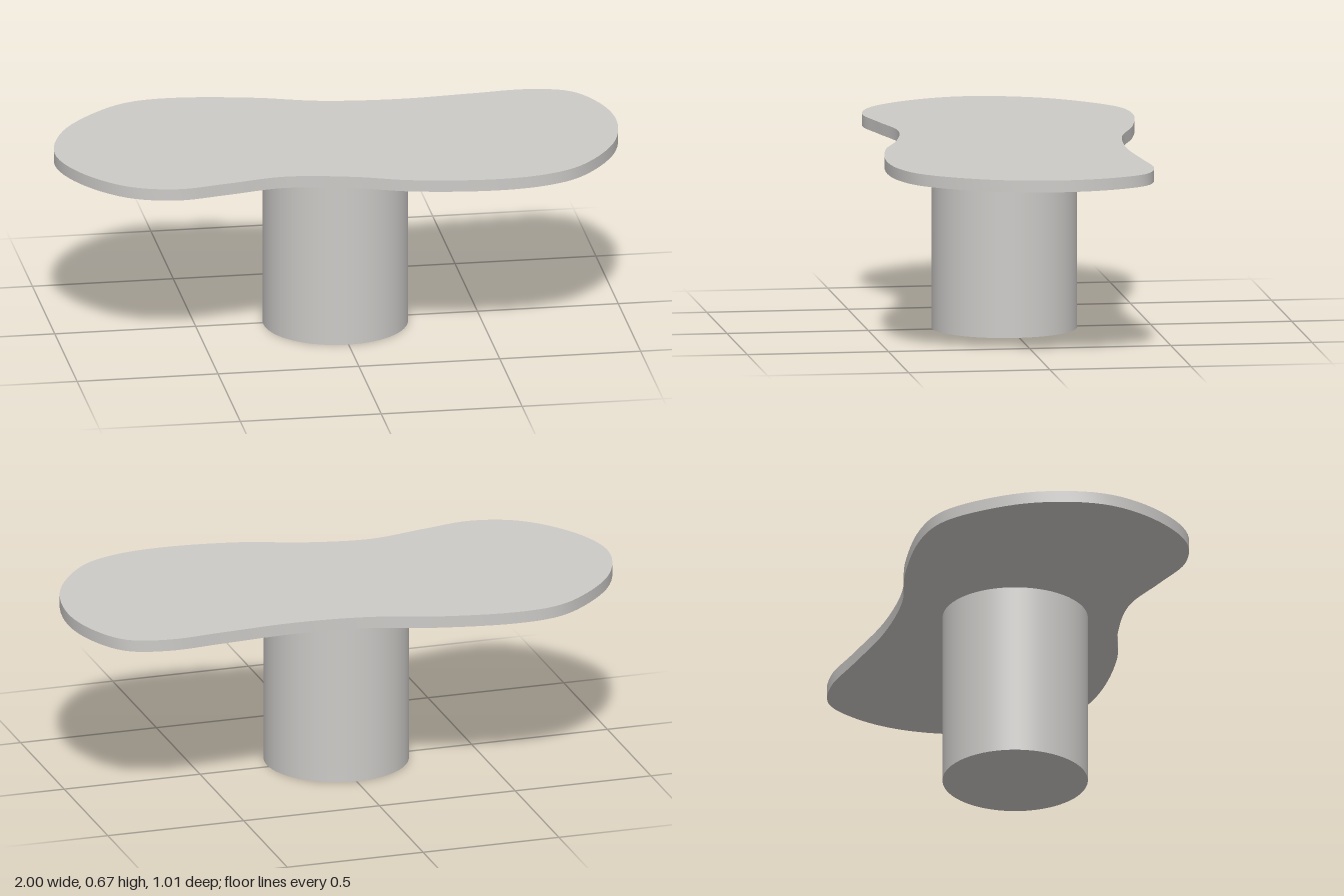
import * as THREE from 'three';
import { toCreasedNormals } from 'three/addons/utils/BufferGeometryUtils.js';

const TOP_Y = 0.67;
const THICKNESS = 0.042;

// Outline of the table top as [x, z]
const OUTLINE = [
  [-1, 0], [-0.935, -0.23], [-0.79, -0.405], [-0.66, -0.49], [-0.5, -0.51],
  [-0.22, -0.467], [0, -0.4], [0.27, -0.375], [0.54, -0.392], [0.745, -0.405],
  [0.885, -0.362], [0.967, -0.23], [1, -0.04], [0.95, 0.2], [0.8, 0.41],
  [0.67, 0.478], [0.485, 0.502], [0.19, 0.465], [0, 0.4], [-0.24, 0.36],
  [-0.45, 0.4], [-0.635, 0.43], [-0.8, 0.375], [-0.945, 0.2],
];

export function createModel() {
  const group = new THREE.Group();
  group.name = 'table';
  const stone = new THREE.MeshStandardMaterial({ color: 0xcccac7 });
  stone.name = 'warm grey';

  // Freeform table top: closed smooth outline, extruded downwards
  const curve = new THREE.CatmullRomCurve3(
    OUTLINE.map(([x, z]) => new THREE.Vector3(x, z, 0)), true, 'centripetal');
  const points = curve.getPoints(144).slice(0, -1);
  const shape = new THREE.Shape(points.map((p) => new THREE.Vector2(p.x, p.y)));
  const slab = new THREE.ExtrudeGeometry(shape, { depth: THICKNESS, bevelEnabled: false });
  slab.rotateX(Math.PI / 2);
  const top = new THREE.Mesh(toCreasedNormals(slab, Math.PI / 6), stone);
  top.name = 'tableTop';
  top.position.y = TOP_Y;
  group.add(top);

  // Round pedestal, slightly off centre
  const height = TOP_Y - THICKNESS;
  const pedestal = new THREE.Mesh(new THREE.CylinderGeometry(0.255, 0.255, height, 64), stone);
  pedestal.name = 'pedestal';
  pedestal.position.set(-0.007, height / 2, 0.017);
  group.add(pedestal);

  return group;
}
